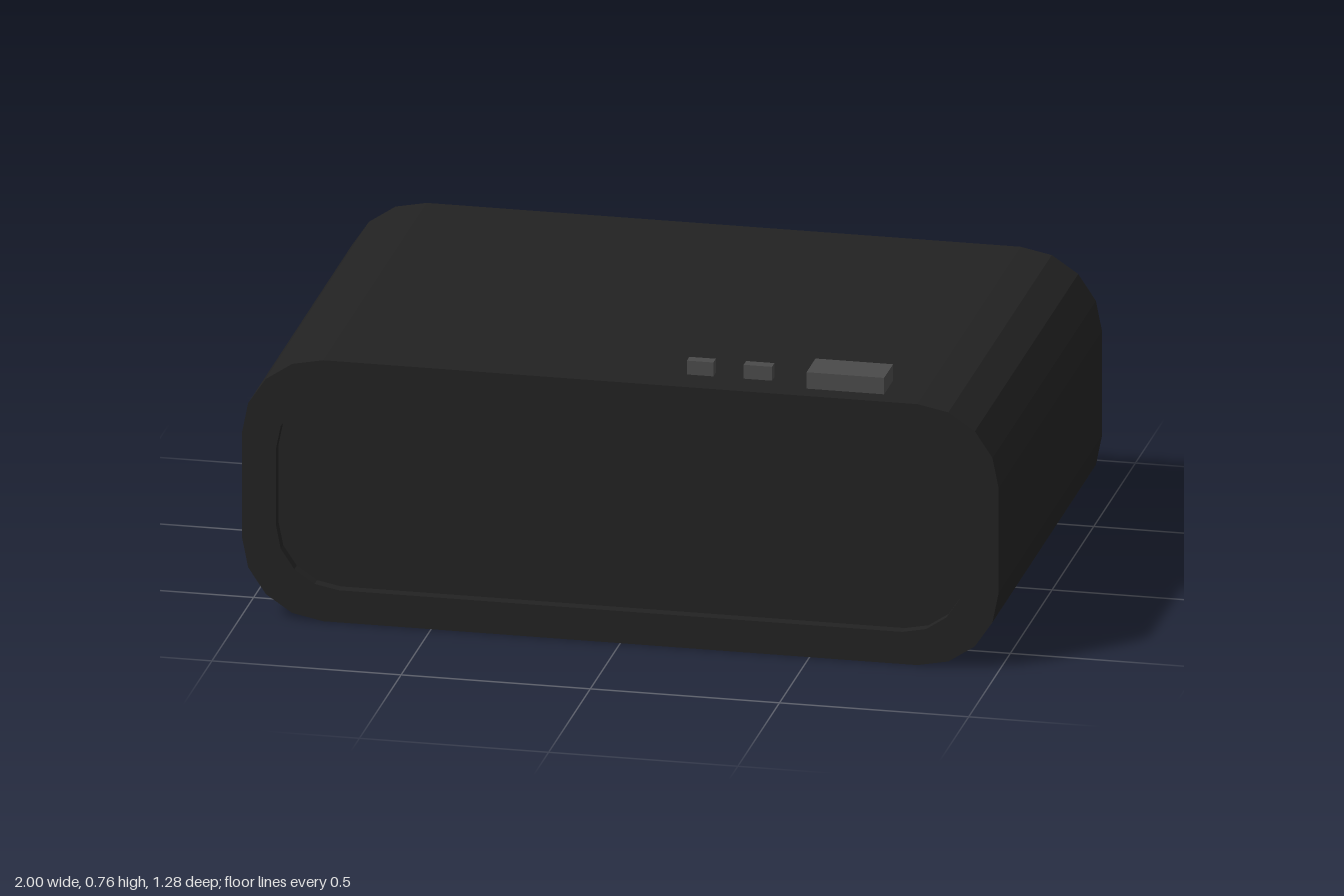
import * as THREE from 'three';

// Rounded rectangle centred on x = 0, from y0 to y1
function roundedRect(path, halfWidth, y0, y1, r) {
  const w = halfWidth - r;
  path.absarc(w, y0 + r, r, -Math.PI / 2, 0, false);
  path.absarc(w, y1 - r, r, 0, Math.PI / 2, false);
  path.absarc(-w, y1 - r, r, Math.PI / 2, Math.PI, false);
  path.absarc(-w, y0 + r, r, Math.PI, Math.PI * 1.5, false);
  path.closePath();
  return path;
}

// Slab of a shape between two z positions
function slab(shape, z0, z1) {
  const g = new THREE.ExtrudeGeometry(shape, { depth: z1 - z0, bevelEnabled: false, curveSegments: 2 });
  return g.translate(0, 0, z0);
}

export function createModel() {
  const group = new THREE.Group();
  const black = new THREE.MeshStandardMaterial({ color: 0x222222 });
  black.name = 'caseBlack';
  const grey = new THREE.MeshStandardMaterial({ color: 0x4a4a4a });
  grey.name = 'buttonGrey';

  const add = (name, geometry, material) => {
    const mesh = new THREE.Mesh(geometry, material);
    mesh.name = name;
    group.add(mesh);
    return mesh;
  };

  const outline = () => roundedRect(new THREE.Shape(), 1, 0, 0.715, 0.215);

  // Main case, with its front cap set back behind the rim
  add('caseBody', slab(outline(), -0.6, 0.605), black);

  // Rim around the recessed front
  const rim = outline();
  rim.holes.push(roundedRect(new THREE.Path(), 0.91, 0.088, 0.628, 0.165));
  add('frontRim', slab(rim, 0.605, 0.64), black);

  // Recessed front panel
  add('frontPanel', slab(roundedRect(new THREE.Shape(), 0.91, 0.088, 0.628, 0.165), 0.604, 0.61), black);

  // Raised plate on the back
  add('backPlate', slab(roundedRect(new THREE.Shape(), 0.76, 0.19, 0.53, 0.08), -0.64, -0.6), black);

  // Buttons on top: x0, x1, z0, z1, top
  const buttons = [
    ['smallButtonInner', 0.155, 0.225, 0.515, 0.545, 0.753],
    ['smallButtonOuter', 0.305, 0.38, 0.515, 0.545, 0.753],
    ['largeButton', 0.48, 0.685, 0.477, 0.585, 0.76],
  ];
  for (const [name, x0, x1, z0, z1, top] of buttons) {
    const base = 0.71;
    const button = add(name, new THREE.BoxGeometry(x1 - x0, top - base, z1 - z0), grey);
    button.position.set((x0 + x1) / 2, (top + base) / 2, (z0 + z1) / 2);
  }

  return group;
}
